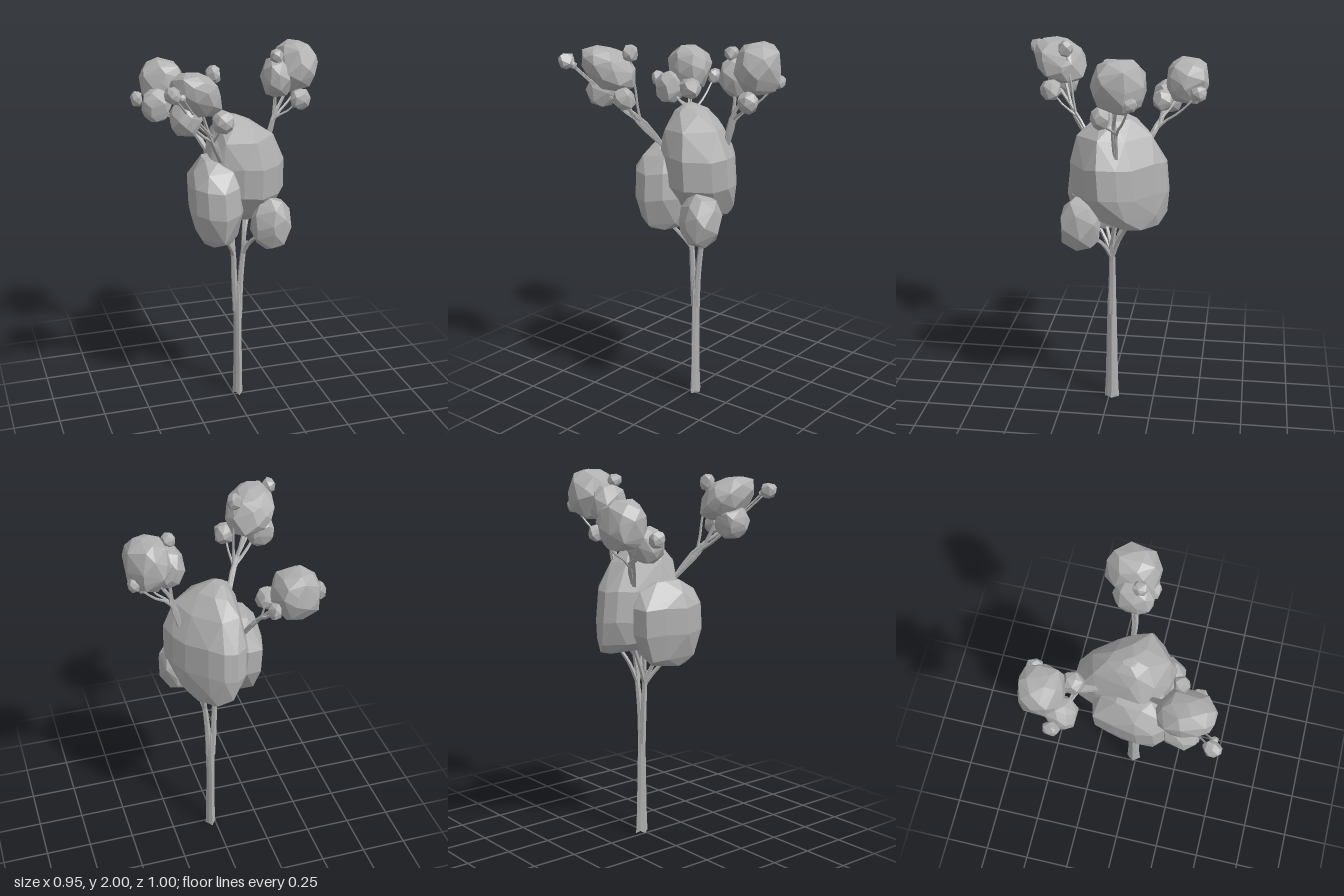
import * as THREE from 'three';
import { ConvexGeometry } from 'three/addons/geometries/ConvexGeometry.js';

const grey = new THREE.MeshStandardMaterial({ color: 0xb0b0b0, flatShading: true });
grey.name = 'stone grey';

function seeded(seed) {
  let s = seed * 7919 + 17;
  return () => (s = (s * 16807) % 2147483647) / 2147483647;
}

function hull(name, pts) {
  const mesh = new THREE.Mesh(new ConvexGeometry(pts), grey);
  mesh.name = name;
  return mesh;
}

// Faceted clump filling the box given by centre c and half sizes r; lean = [x, z] shift of its top
function clump(name, c, r, seed, count, lean = [0, 0]) {
  const rand = seeded(seed), pts = [];
  for (let i = 0; i < count; i++) {
    const y = 1 - (2 * i + 1) / count, a = i * 2.39996 + seed + (rand() - 0.5) * 0.7;
    const q = Math.sqrt(1 - y * y);
    const p = new THREE.Vector3(q * Math.cos(a), y, q * Math.sin(a));
    const n = Math.pow(Math.abs(p.x) ** 2.6 + Math.abs(p.y) ** 2.6 + Math.abs(p.z) ** 2.6, 1 / 2.6);
    p.multiplyScalar((0.95 + rand() * 0.1) / n);
    p.x += lean[0] * p.y;
    p.z += lean[1] * p.y;
    pts.push(p);
  }
  const box = new THREE.Box3().setFromPoints(pts);
  const mid = box.getCenter(new THREE.Vector3()), half = box.getSize(new THREE.Vector3()).multiplyScalar(0.5);
  pts.forEach(p => p.sub(mid).divide(half).multiply(new THREE.Vector3(...r)).add(new THREE.Vector3(...c)));
  return hull(name, pts);
}

// Large clump from a plan outline (about its centre) repeated at levels [y, scale, x, z]
function layeredClump(name, outline, levels) {
  const pts = [];
  levels.forEach(([y, s, cx, cz], j) => outline.forEach(([x, z], i) => {
    if (s > 0.9 || (i + j) % 2) pts.push(new THREE.Vector3(cx + x * s, y + (i % 3 - 1) * 0.008 * s, cz + z * s));
  }));
  return hull(name, pts);
}

// Tapered limb along a smooth path, from radius r0 to r1
function limb(name, path, r0, r1, sides = 5, steps = 8) {
  const curve = new THREE.CatmullRomCurve3(path.map(p => new THREE.Vector3(...p)));
  const geo = new THREE.TubeGeometry(curve, steps, 1, sides, false);
  const pos = geo.attributes.position, v = new THREE.Vector3();
  for (let i = 0; i < pos.count; i++) {
    const t = Math.floor(i / (sides + 1)) / steps, o = curve.getPointAt(t);
    v.fromBufferAttribute(pos, i).sub(o).multiplyScalar(r0 + (r1 - r0) * t).add(o);
    pos.setXYZ(i, v.x, v.y, v.z);
  }
  const mesh = new THREE.Mesh(geo, grey);
  mesh.name = name;
  return mesh;
}

// Fluted trunk, oval in section and flared at the foot
function trunk() {
  const sides = 8, rings = [[0, 0.03, 0.041], [0.12, 0.026, 0.035], [0.4, 0.024, 0.029], [0.6, 0.025, 0.024], [0.68, 0.014, 0.016]];
  const pos = [], idx = [];
  rings.forEach(([y, rx, rz], j) => {
    for (let i = 0; i < sides; i++) {
      const a = (i / sides) * Math.PI * 2, k = i % 2 ? 0.82 : 1;
      pos.push(0.027 + Math.cos(a) * rx * k, y + (j ? 0 : (i % 2) * 0.015), -0.016 + Math.sin(a) * rz * k);
      if (j) {
        const n = (i + 1) % sides, lo = (j - 1) * sides, hi = j * sides;
        idx.push(lo + i, hi + i, hi + n, lo + i, hi + n, lo + n);
      }
    }
  });
  // foot and top caps
  const top = (rings.length - 1) * sides;
  for (let i = 1; i < sides - 1; i++) idx.push(0, i, i + 1, top, top + i + 1, top + i);
  const geo = new THREE.BufferGeometry();
  geo.setAttribute('position', new THREE.Float32BufferAttribute(pos, 3));
  geo.setIndex(idx);
  geo.computeVertexNormals();
  const mesh = new THREE.Mesh(geo, grey);
  mesh.name = 'trunk';
  return mesh;
}

// Branch cluster: a stem from root to fork, then clumps [centre, half sizes, point count, lean] on twigs
function cluster(name, root, fork, clumps, seed) {
  const g = new THREE.Group();
  g.name = name;
  clumps.forEach(([c, r, count, lean], i) => {
    g.add(clump('leafClump', c, r, seed + i, count, lean));
    const off = (i - clumps.length / 2) * 0.005;
    const near = [fork[0] + off, fork[1], fork[2] - off];
    const bend = near.map((v, k) => v + (c[k] - v) * 0.5 + (k === 1 ? -0.015 : 0));
    const thick = i < 2 ? 0.014 : 0.01;
    g.add(limb('twig', [root, near, bend, c], thick, thick * 0.45));
  });
  return g;
}

export function createModel() {
  const tree = new THREE.Group();
  tree.name = 'tree';
  tree.add(trunk());

  // two main limbs, each splitting into branches
  const forkL = [0.002, 0.86, -0.015], forkR = [0.058, 0.86, -0.02];
  tree.add(limb('mainLimb', [[0.018, 0.52, -0.018], [0.008, 0.7, -0.018], forkL, [-0.006, 0.94, -0.015]], 0.019, 0.014, 6));
  tree.add(limb('mainLimb', [[0.034, 0.52, -0.014], [0.042, 0.7, -0.016], forkR, [0.07, 0.94, -0.02]], 0.019, 0.014, 6));
  [
    [forkL, [-0.03, 0.96, 0.01], [-0.1, 1.06, 0.05]],
    [forkL, [-0.025, 0.92, 0.02], [-0.08, 1.01, 0.08]],
    [forkL, [0, 0.97, -0.05], [-0.01, 1.15, -0.13]],
    [forkL, [0, 1.0, -0.02], [0.02, 1.25, -0.02]],
    [forkR, [0.085, 0.94, 0.02], [0.15, 1.03, 0.11]],
    [forkR, [0.08, 0.97, -0.06], [0.14, 1.12, -0.14]],
    [forkR, [0.065, 0.98, -0.03], [0.08, 1.15, -0.06]],
  ].forEach(path => tree.add(limb('branch', path, 0.013, 0.009)));

  // big lower clumps
  tree.add(layeredClump('crownClump', [
    [-0.09, -0.26], [-0.02, -0.255], [0.05, -0.2], [0.145, -0.09], [0.19, -0.01], [0.215, 0.09], [0.165, 0.16],
    [0.045, 0.255], [-0.055, 0.24], [-0.155, 0.19], [-0.215, 0.13], [-0.205, 0.04], [-0.18, -0.13], [-0.15, -0.22],
  ], [
    [1.06, 0.5, 0.07, -0.14], [1.12, 0.8, 0.06, -0.1], [1.24, 0.98, 0.057, -0.062], [1.4, 0.97, 0.055, -0.05],
    [1.54, 0.76, 0.04, -0.03], [1.62, 0.42, 0.01, -0.03], [1.655, 0.14, -0.015, -0.02],
  ]));
  tree.add(layeredClump('sideClump', [
    [-0.085, -0.2], [0, -0.22], [0.08, -0.17], [0.13, -0.05], [0.14, 0.09], [0.1, 0.18],
    [0.01, 0.22], [-0.075, 0.19], [-0.125, 0.13], [-0.138, 0.04], [-0.115, -0.09],
  ], [
    [0.985, 0.5, -0.115, 0.05], [1.03, 0.77, -0.12, 0.045], [1.17, 0.99, -0.122, 0.03],
    [1.31, 0.97, -0.128, 0.02], [1.39, 0.77, -0.127, 0.02], [1.44, 0.42, -0.125, 0.02],
  ]));
  tree.add(clump('lowClump', [0.165, 1.085, 0.13], [0.106, 0.145, 0.107], 21, 30));

  // upper branch clusters
  tree.add(cluster('leftCluster', [0.19, 1.42, -0.06], [0.24, 1.6, -0.06], [
    [[0.363, 1.865, -0.09], [0.107, 0.135, 0.133], 40],
    [[0.252, 1.82, -0.065], [0.073, 0.11, 0.103], 34],
    [[0.362, 1.71, 0.0], [0.055, 0.058, 0.048], 24],
    [[0.24, 1.94, -0.03], [0.035, 0.037, 0.04], 22],
    [[0.445, 1.8, -0.155], [0.03, 0.036, 0.037], 22],
  ], 31));
  tree.add(cluster('frontRightCluster', [-0.1, 1.44, 0.1], [-0.165, 1.58, 0.2], [
    [[-0.28, 1.86, 0.305], [0.125, 0.115, 0.142], 44, [-0.25, 0.25]],
    [[-0.335, 1.74, 0.3], [0.08, 0.085, 0.09], 34],
    [[-0.16, 1.72, 0.34], [0.053, 0.058, 0.058], 24],
    [[-0.185, 1.94, 0.26], [0.036, 0.044, 0.04], 22],
    [[-0.437, 1.9, 0.455], [0.04, 0.04, 0.045], 22],
    [[-0.39, 1.885, 0.455], [0.016, 0.02, 0.02], 14],
  ], 47));
  tree.add(cluster('backRightCluster', [-0.09, 1.4, -0.16], [-0.165, 1.55, -0.245], [
    [[-0.29, 1.765, -0.385], [0.12, 0.125, 0.115], 44],
    [[-0.345, 1.665, -0.28], [0.08, 0.09, 0.08], 34],
    [[-0.19, 1.675, -0.26], [0.053, 0.057, 0.053], 24],
    [[-0.45, 1.7, -0.3], [0.03, 0.042, 0.042], 22],
    [[-0.165, 1.72, -0.45], [0.031, 0.042, 0.042], 22],
  ], 63));
  return tree;
}
